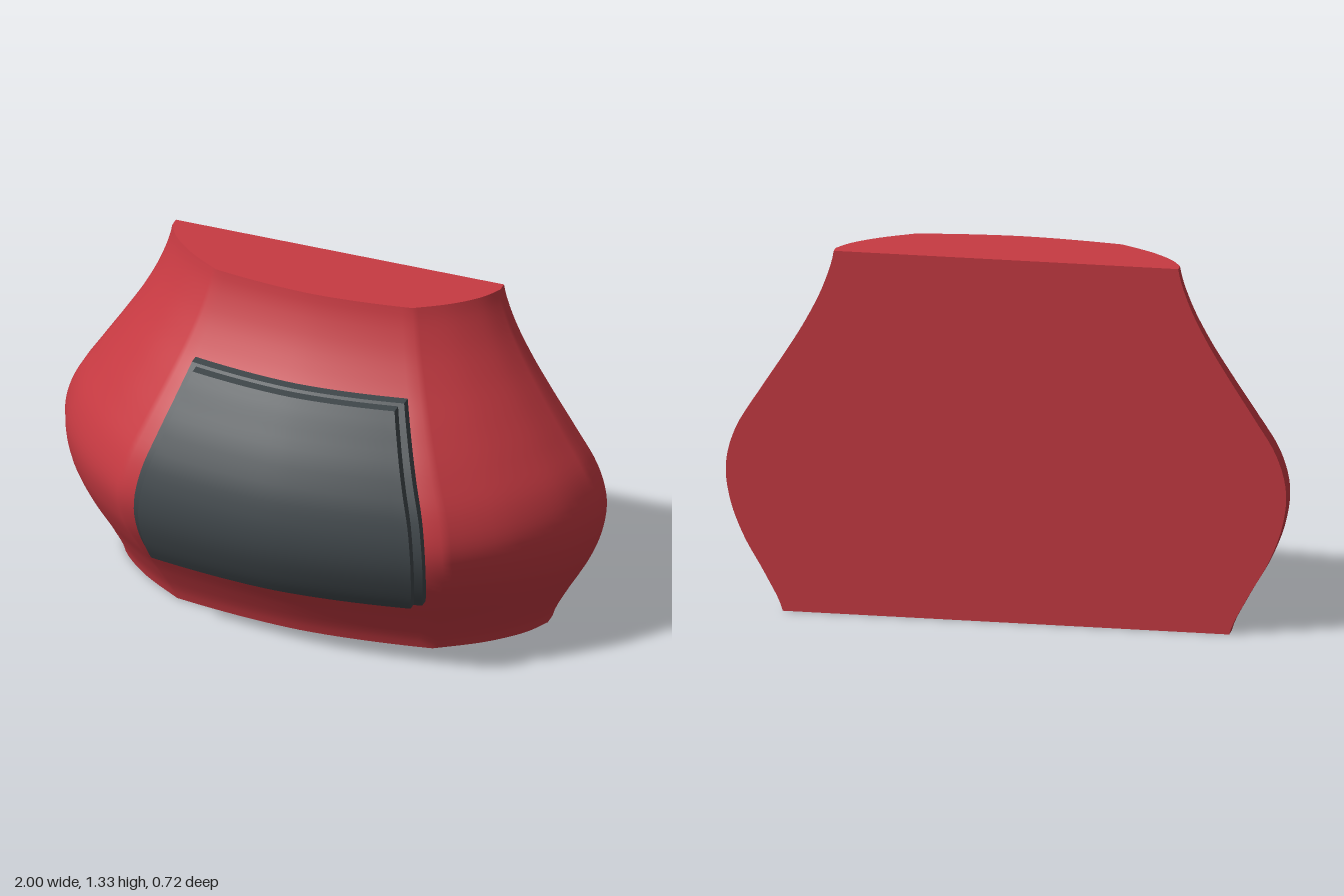
import * as THREE from 'three';

const H = 1.33, BACK = -0.36;

// Half-width and front depth up the height, at even steps
const curve = (values) => {
  const spline = new THREE.SplineCurve(values.map((v, i) => new THREE.Vector2(i, v)));
  return (y) => spline.getPoint(y / H).y;
};
const halfWidth = curve([0.797, 0.86, 0.935, 0.985, 1, 0.965, 0.885, 0.8, 0.72, 0.655, 0.615]);
const frontZ = curve([0.04, 0.105, 0.19, 0.265, 0.3, 0.275, 0.215, 0.135, 0.05, -0.02, -0.065]);

// Relative depth of the gently bowed middle of the front
const bow = (u) => 1 - 0.12 * Math.pow(Math.abs(u) / 0.6, 1.7);

// Half cross-section from the back edge to the centre, as [width, depth] fractions
const side = new THREE.SplineCurve(
  [[1, 0.12], [0.93, 0.36], [0.79, 0.63], [0.6, 0.88]].map((p) => new THREE.Vector2(...p))
).getPoints(15).map((p) => [p.x, p.y]);
const half = [[1, 0], [1, 0.06], ...side];
for (let i = 1; i < 10; i++) half.push([0.6 * (1 - i / 10), bow(0.6 * (1 - i / 10))]);
const section = [
  ...half.map(([u, d]) => [-u, d]), [0, 1],
  ...half.map(([u, d]) => [u, d]).reverse(),
];

const bodyPoint = (u, d, y) => [u * halfWidth(y), y, BACK + d * (frontZ(y) - BACK)];

// Grid of points; faces the viewer when columns run right and rows run up
function grid(cols, rows, point) {
  const pos = [], index = [];
  for (let j = 0; j <= rows; j++)
    for (let i = 0; i <= cols; i++) pos.push(...point(i / cols, j / rows, i));
  for (let j = 0; j < rows; j++)
    for (let i = 0; i < cols; i++) {
      const a = j * (cols + 1) + i, c = a + cols + 1;
      index.push(a, a + 1, c, a + 1, c + 1, c);
    }
  const g = new THREE.BufferGeometry();
  g.setAttribute('position', new THREE.Float32BufferAttribute(pos, 3));
  g.setIndex(index);
  g.computeVertexNormals();
  return g;
}

function named(name, geometries, material) {
  const group = new THREE.Group();
  group.name = name;
  for (const [part, g] of Object.entries(geometries)) {
    const mesh = new THREE.Mesh(g, material);
    mesh.name = part;
    group.add(mesh);
  }
  return group;
}

// Curved slab that follows the front, from offset inner to offset outer
function slab(name, u, y0, y1, inner, outer, material) {
  const at = (s, t, off) => {
    const k = (2 * s - 1) * u, y = y0 + t * (y1 - y0);
    const slope = (frontZ(y + 0.01) - frontZ(y - 0.01)) / 0.02;
    const p = bodyPoint(k, bow(k), y);
    p[2] += off * Math.hypot(1, slope);
    return p;
  };
  const thick = (k) => inner + k * (outer - inner);
  return named(name, {
    face: grid(20, 24, (s, t) => at(s, t, outer)),
    rear: grid(20, 24, (s, t) => at(1 - s, t, inner)),
    topEdge: grid(20, 1, (s, t) => at(s, 1, thick(1 - t))),
    bottomEdge: grid(20, 1, (s, t) => at(s, 0, thick(t))),
    leftEdge: grid(1, 24, (s, t) => at(1, t, thick(1 - s))),
    rightEdge: grid(1, 24, (s, t) => at(0, t, thick(s))),
  }, material);
}

export function createModel() {
  const red = new THREE.MeshStandardMaterial({ color: 0xc73a42 });
  red.name = 'red';
  const charcoal = new THREE.MeshStandardMaterial({ color: 0x40474b });
  charcoal.name = 'charcoal';

  const n = section.length - 1;
  const model = new THREE.Group();
  model.name = 'paddedShell';

  // Bulging body with flat back, top and bottom
  model.add(named('body', {
    frontShell: grid(n, 48, (s, t, i) => bodyPoint(...section[i], t * H)),
    backPlate: grid(1, 48, (s, t) => bodyPoint(1 - 2 * s, 0, t * H)),
    topCap: grid(n, 1, (s, t, i) => bodyPoint(section[i][0], section[i][1] * (1 - t), H)),
    bottomCap: grid(n, 1, (s, t, i) => bodyPoint(section[i][0], section[i][1] * t, 0)),
  }, red));

  // Stepped front panel
  model.add(slab('panelBase', 0.54, 0.298, 1.035, -0.01, 0.03, charcoal));
  model.add(slab('panelCover', 0.51, 0.306, 1.025, 0.02, 0.06, charcoal));
  return model;
}
